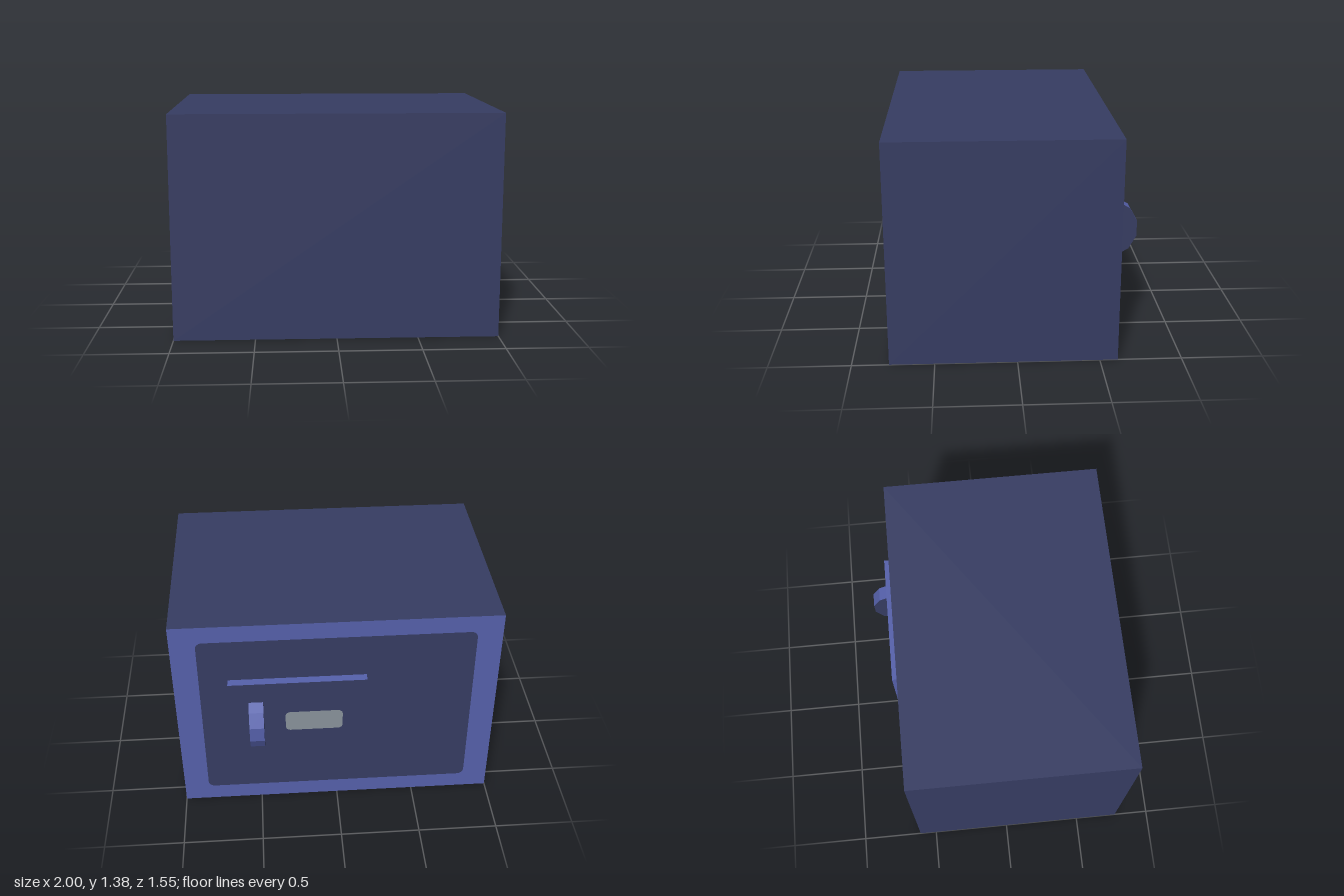
import * as THREE from 'three';

const material = (name, color) => {
  const m = new THREE.MeshStandardMaterial({ color });
  m.name = name;
  return m;
};

// Rounded rectangle facing -z, centred on its own origin
function roundedPlate(w, h, r) {
  const s = new THREE.Shape();
  const x = w / 2, y = h / 2;
  s.moveTo(-x + r, -y);
  s.lineTo(x - r, -y);
  s.absarc(x - r, -y + r, r, -Math.PI / 2, 0);
  s.lineTo(x, y - r);
  s.absarc(x - r, y - r, r, 0, Math.PI / 2);
  s.lineTo(-x + r, y);
  s.absarc(-x + r, y - r, r, Math.PI / 2, Math.PI);
  s.lineTo(-x, -y + r);
  s.absarc(-x + r, -y + r, r, Math.PI, Math.PI * 1.5);
  return new THREE.ShapeGeometry(s, 4).rotateY(Math.PI);
}

export function createModel() {
  const group = new THREE.Group();
  group.name = 'safe';
  const dark = material('darkBlue', 0x363c62);
  const light = material('lightBlue', 0x5560aa);
  const black = material('blackBase', 0x222026);
  const grey = material('displayGrey', 0x88929a);

  const add = (name, geometry, mat, x, y, z) => {
    const mesh = new THREE.Mesh(geometry, mat);
    mesh.name = name;
    mesh.position.set(x, y, z);
    group.add(mesh);
  };

  // Body: dark shell, light rim around the door, black underside
  add('body', new THREE.BoxGeometry(2, 1.385, 1.385),
    [dark, dark, dark, black, dark, light], 0, 0.6925, 0.0825);

  // Door set into the rim
  add('door', roundedPlate(1.69, 1.165, 0.04), dark, 0, 0.6925, -0.613);

  // Raised lock panel with light edges and dark face
  add('lockPanel', new THREE.BoxGeometry(0.85, 0.59, 0.057),
    [light, light, light, light, light, dark], 0.245, 0.695, -0.6385);

  // Display on the panel
  add('display', roundedPlate(0.356, 0.145, 0.03), grey, 0.148, 0.69, -0.67);

  // Faceted handle: dark sides, light outer band
  const profile = [[0, -0.17], [0.06, -0.135], [0.108, -0.05],
    [0.108, 0.05], [0.06, 0.135], [0, 0.17]];
  const shape = new THREE.Shape(profile.map(([d, y]) => new THREE.Vector2(d, y)));
  const handle = new THREE.ExtrudeGeometry(shape, { depth: 0.09, bevelEnabled: false });
  handle.rotateY(Math.PI / 2);
  add('handle', handle, [dark, light], 0.46, 0.68, -0.667);

  return group;
}
